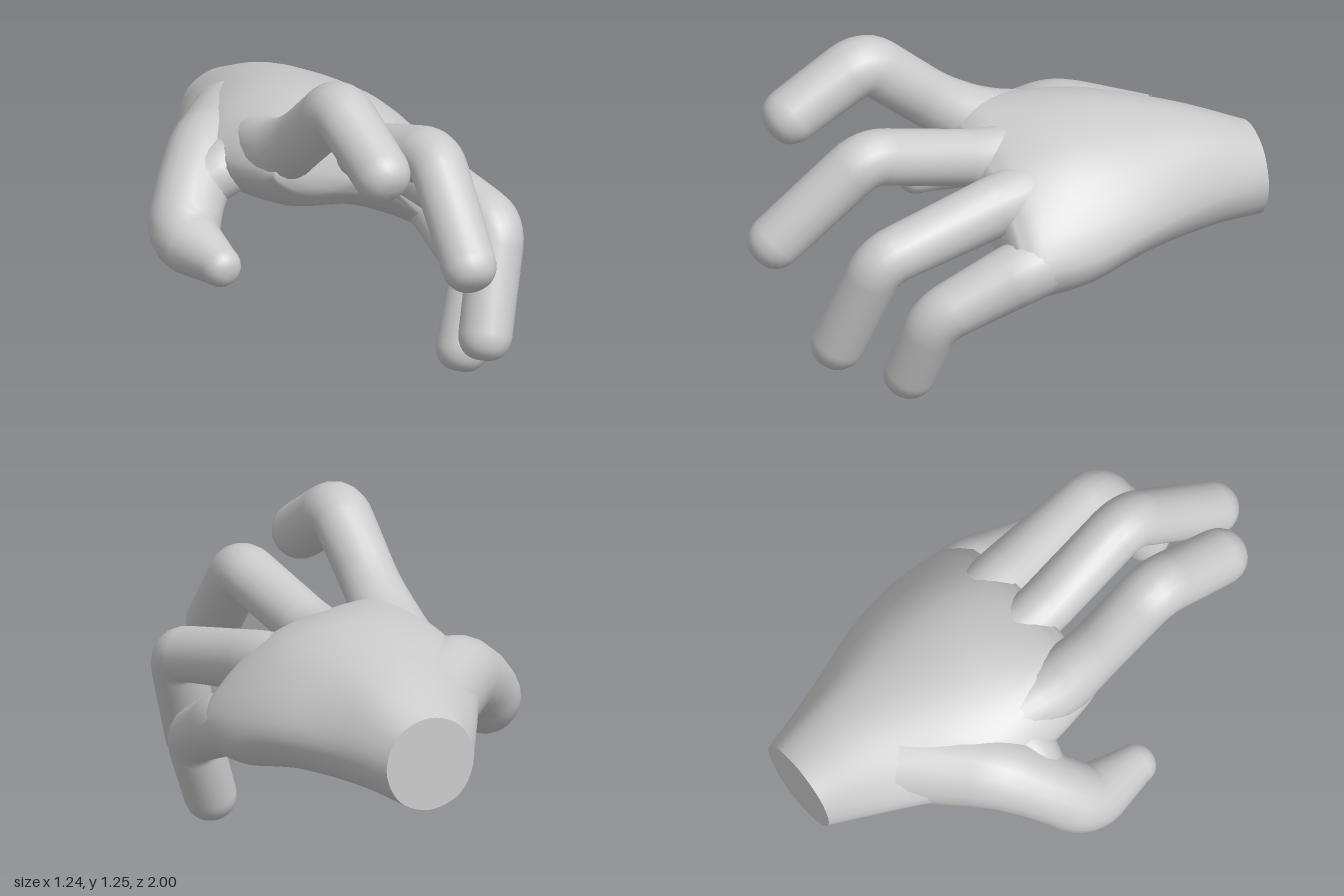
import * as THREE from 'three';

const material = new THREE.MeshStandardMaterial({ color: 0xcccccc, roughness: 0.8 });

// Skin a list of closed rings (counter-clockwise about the direction of travel)
function loft(name, rings) {
  const n = rings[0].length, pos = [], idx = [];
  rings.forEach(ring => ring.forEach(p => pos.push(p.x, p.y, p.z)));
  for (let i = 0; i < rings.length - 1; i++) {
    for (let j = 0; j < n; j++) {
      const k = (j + 1) % n;
      const a = i * n + j, b = i * n + k, c = a + n, d = b + n;
      idx.push(a, b, c, b, d, c);
    }
  }
  const geo = new THREE.BufferGeometry();
  geo.setAttribute('position', new THREE.Float32BufferAttribute(pos, 3));
  geo.setIndex(idx);
  geo.computeVertexNormals();
  const mesh = new THREE.Mesh(geo, material);
  mesh.name = name;
  return mesh;
}

// Finger: a bent tube through [x, y, z, radius] joints with a rounded tip
function digit(name, joints, ref, sides = 20) {
  const p = joints.map(j => new THREE.Vector4(...j));
  const xyz = q => new THREE.Vector3(q.x, q.y, q.z);
  const path = [p[0]];
  for (let i = 1; i < p.length - 1; i++) {
    const cut = q => p[i].clone().lerp(q, Math.min(0.45, 0.08 / xyz(p[i]).distanceTo(xyz(q))));
    const a = cut(p[i - 1]), b = cut(p[i + 1]);
    for (let s = 0; s <= 6; s++) {
      const t = s / 6;
      path.push(a.clone().lerp(p[i], t).lerp(p[i].clone().lerp(b, t), t));
    }
  }
  path.push(p[p.length - 1]);

  const circle = (c, t, r) => {
    const u = ref.clone().addScaledVector(t, -ref.dot(t)).normalize();
    const v = t.clone().cross(u);
    return Array.from({ length: sides }, (_, j) => {
      const a = j / sides * Math.PI * 2;
      return c.clone().addScaledVector(u, r * Math.cos(a)).addScaledVector(v, r * Math.sin(a));
    });
  };
  let t;
  const rings = path.map((q, i) => {
    const from = path[Math.max(i - 1, 0)], to = path[Math.min(i + 1, path.length - 1)];
    t = xyz(to).sub(xyz(from)).normalize();
    return circle(xyz(q), t, q.w);
  });
  // Blunt, rounded fingertip
  const end = path[path.length - 1];
  for (let s = 1; s <= 8; s++) {
    const a = s / 8 * Math.PI / 2;
    const c = xyz(end).addScaledVector(t, 0.97 * end.w * Math.sin(a));
    rings.push(circle(c, t, Math.max(1e-4, end.w * Math.pow(Math.max(0, Math.cos(a)), 0.75))));
  }
  return loft(name, rings);
}

// Palm sections: z, then x,y pairs from the thumb edge, under the palm, to the outer edge and over the back
const sections = [
  [-1.00, 0, .60, .055, .47, .185, .42, .315, .47, .37, .60, .315, .73, .185, .78, .055, .73],
  [-0.75, -.15, .68, -.05, .53, .18, .45, .37, .48, .445, .62, .34, .82, .17, .88, -.03, .82],
  [-0.45, -.31, .71, -.13, .56, .18, .47, .46, .47, .56, .61, .38, .86, .10, .945, -.17, .87],
  [-0.20, -.31, .74, -.18, .60, .19, .50, .52, .42, .615, .56, .40, .86, .10, .955, -.19, .90],
  [0.00, -.28, .77, -.16, .63, .21, .55, .52, .40, .615, .54, .38, .82, .10, .91, -.17, .91],
  [0.09, -.25, .79, -.14, .70, .23, .60, .51, .42, .59, .51, .36, .76, .10, .85, -.15, .86],
];

function palmRings() {
  const columns = [];
  for (let k = 0; k < 8; k++) {
    const pts = sections.map(s => new THREE.Vector3(s[1 + 2 * k], s[2 + 2 * k], s[0]));
    columns.push(new THREE.CatmullRomCurve3(pts, false, 'catmullrom'));
  }
  const rings = [];
  for (let i = 0; i <= 25; i++) {
    const loop = new THREE.CatmullRomCurve3(columns.map(c => c.getPoint(i / 25)), true);
    rings.push(loop.getPoints(40).slice(0, -1));
  }
  return rings;
}

const shrink = (ring, centre, amount) => ring.map(p => p.clone().lerp(centre, amount));

export function createModel() {
  const hand = new THREE.Group();
  hand.name = 'hand';

  // Palm, closed softly between the finger roots
  const rings = palmRings();
  const wrist = rings[0], front = rings[rings.length - 1];
  const core = new THREE.Vector3(0.2, 0.69, 0.13);
  hand.add(loft('palm', [...rings, shrink(front, core, 0.25), shrink(front, core, 0.6), shrink(front, core, 0.999)]));

  // Flat cut at the wrist
  const wristCentre = new THREE.Vector3(0.185, 0.6, -1);
  hand.add(loft('wristEnd', [shrink(wrist, wristCentre, 0.999), wrist]));

  // Four fingers, each rising out of the back of the palm as a low knuckle
  const X = new THREE.Vector3(1, 0, 0), Y = new THREE.Vector3(0, 1, 0);
  const fingers = {
    indexFinger: [[-.11, .78, -.4, .1], [-.155, .815, -.04, .13], [-.168, .925, .13, .11],
      [-.175, 1.155, .415, .115], [-.175, .985, .71, .11]],
    middleFinger: [[.09, .81, -.35, .11], [.112, .81, .07, .108], [.167, .935, .55, .108], [.1, .62, .89, .105]],
    ringFinger: [[.26, .76, -.35, .11], [.33, .73, .04, .118], [.415, .62, .6, .104], [.285, .245, .715, .102]],
    littleFinger: [[.45, .59, -.35, .11], [.5, .52, .03, .125], [.455, .36, .39, .104], [.35, .1, .45, .1]],
  };
  for (const [name, joints] of Object.entries(fingers)) hand.add(digit(name, joints, X));

  // Thumb, swinging out to the side and then forward
  hand.add(digit('thumb', [
    [.02, .69, -.62, .19], [-.25, .715, -.39, .16], [-.4, .63, -.275, .135], [-.5, .51, -.17, .138],
    [-.487, .47, .07, .08],
  ], Y));

  // Web of skin between thumb and index finger
  hand.add(digit('thumbWeb', [
    [-.1, .75, -.3, .12], [-.25, .72, -.25, .11], [-.37, .65, -.27, .1],
  ], Y));

  return hand;
}
